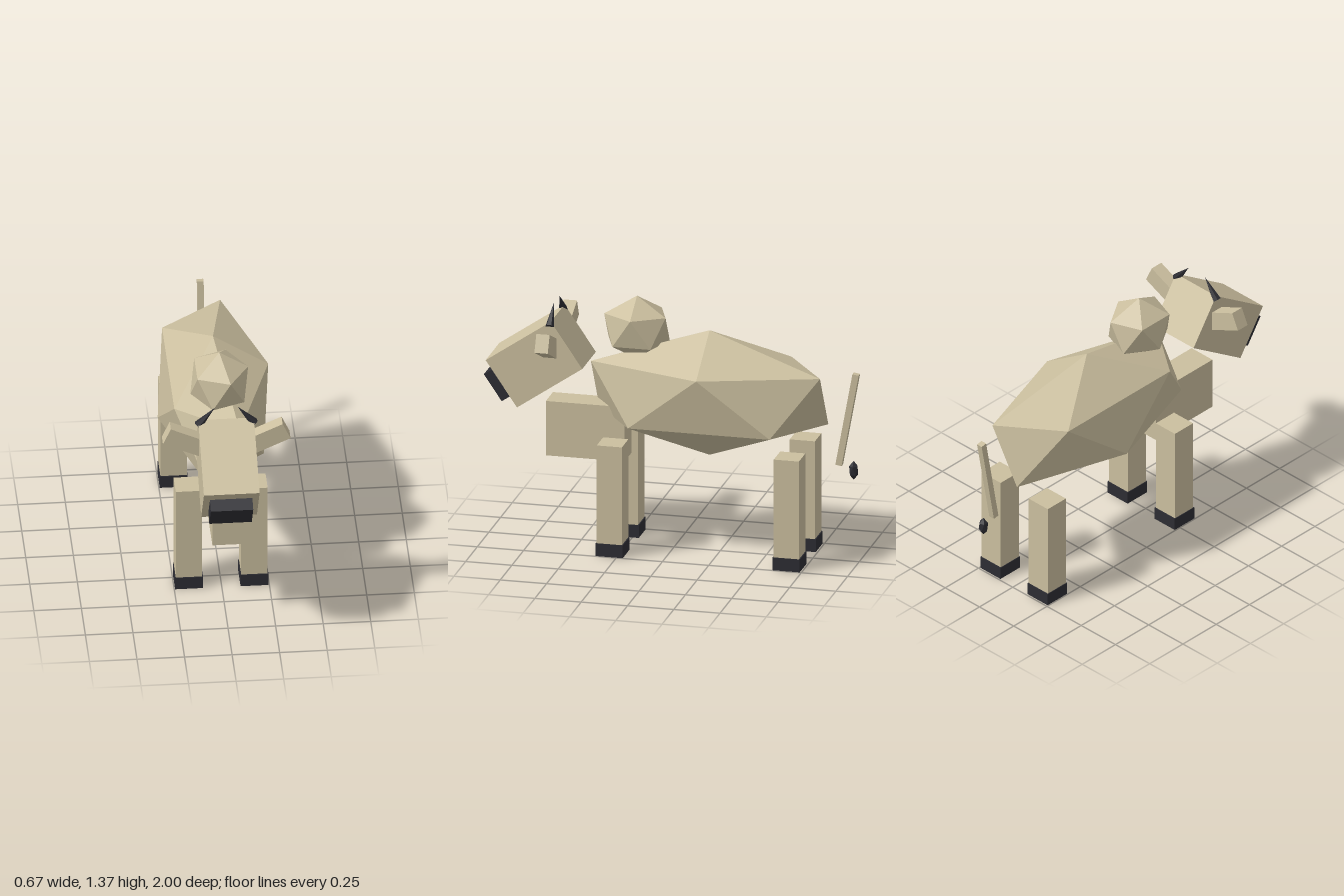
import * as THREE from 'three';

export function createModel() {
  const model = new THREE.Group();
  model.name = 'lowPolyCow';

  const hide = new THREE.MeshStandardMaterial({ color: 0xcbbf9f, flatShading: true });
  hide.name = 'tan hide';
  const dark = new THREE.MeshStandardMaterial({ color: 0x2d2d33, flatShading: true });
  dark.name = 'charcoal';

  function add(parent, name, geometry, material, position, rx = 0, rz = 0) {
    const mesh = new THREE.Mesh(geometry, material);
    mesh.name = name;
    mesh.position.set(...position);
    mesh.rotation.set(rx, 0, rz);
    parent.add(mesh);
    return mesh;
  }
  const box = (x, y, z) => new THREE.BoxGeometry(x, y, z);

  // Icosahedron standing on a vertex, stretched along each axis
  function gem(rx, ry, rz) {
    const g = new THREE.IcosahedronGeometry(1, 0);
    g.rotateZ(-Math.atan(2 / (1 + Math.sqrt(5))));
    g.scale(rx, ry, rz);
    g.computeVertexNormals();
    return g;
  }

  // Trunk
  add(model, 'body', gem(0.325, 0.344, 0.731 * 0.995), hide, [0, 0.869, -0.192]);
  add(model, 'hump', gem(0.17, 0.174, 0.195), hide, [0, 1.198, 0.2]);
  add(model, 'neck', box(0.152, 0.3, 0.425), hide, [0, 0.626, 0.461]);

  // Head tipped forward, with the muzzle on its front face
  const head = new THREE.Group();
  head.name = 'head';
  head.position.set(0, 0.996, 0.72);
  head.rotation.x = 0.6;
  model.add(head);
  add(head, 'skull', box(0.293, 0.3, 0.427), hide, [0, 0, 0]);
  add(head, 'muzzle', box(0.223, 0.171, 0.08), dark, [0, 0, 0.24]);

  for (const s of [1, -1]) {
    const side = s > 0 ? 'left' : 'right';

    // Ears slope up and outward, horns lean inward
    add(model, side + 'Ear', box(0.25, 0.1, 0.072), hide, [s * 0.201, 1.12, 0.634], 0, s * 0.43);
    add(model, side + 'Horn', new THREE.ConeGeometry(0.024, 0.135, 6), dark,
      [s * 0.104, 1.265, 0.634], 0, s * 0.7);

    // Legs and hooves
    for (const [end, z] of [['Front', 0.289], ['Back', -0.667]]) {
      add(model, side + end + 'Leg', box(0.139, 0.58, 0.136), hide, [s * 0.172, 0.32, z]);
      add(model, side + end + 'Hoof', box(0.147, 0.07, 0.147), dark, [s * 0.172, 0.035, z]);
    }
  }

  // Tail with its tuft
  add(model, 'tail', box(0.034, 0.515, 0.034), hide, [0, 0.782, -0.938], -0.18);
  add(model, 'tailTuft', gem(0.027, 0.052, 0.027), dark, [0, 0.503, -0.97]);

  return model;
}
